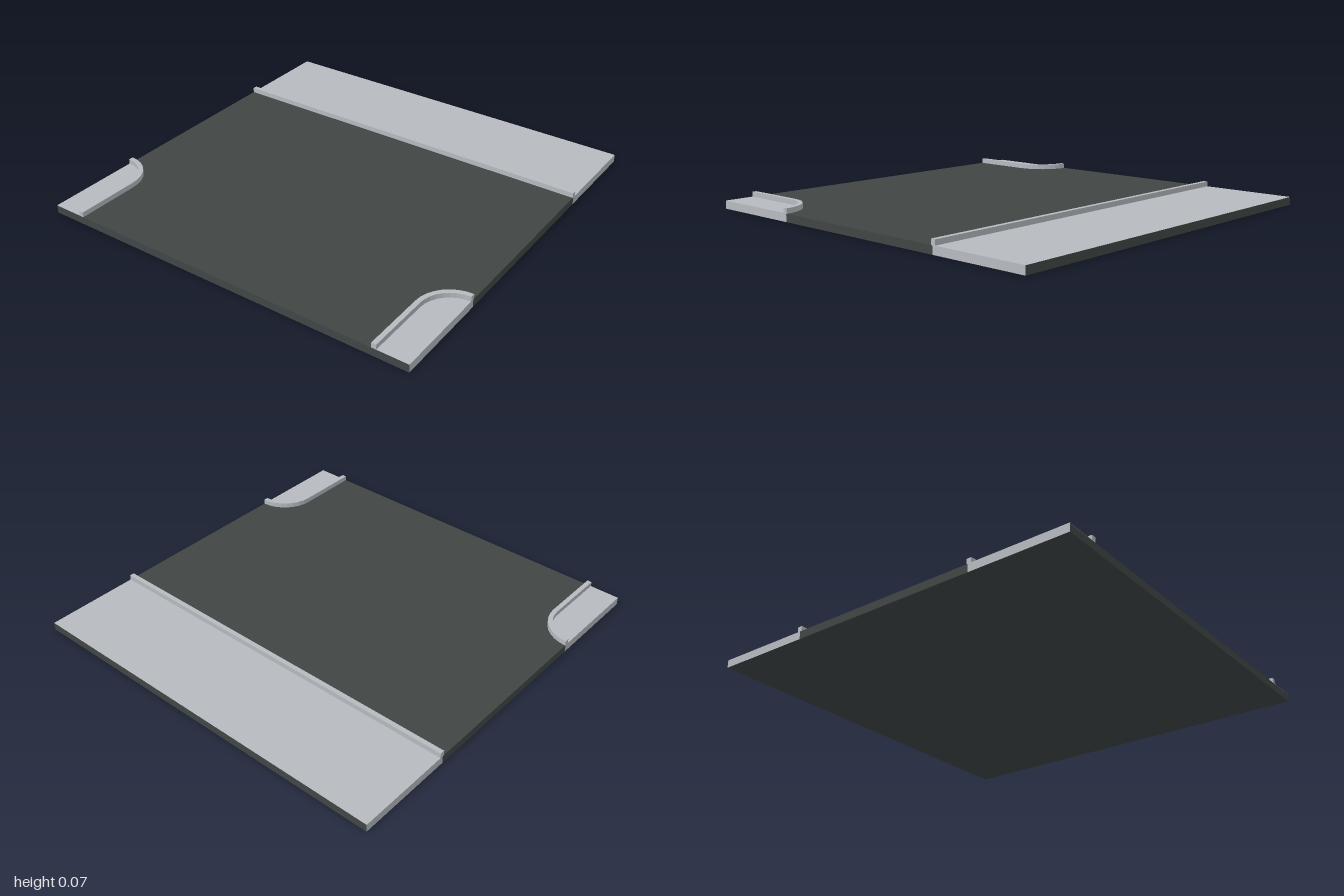
import * as THREE from 'three';

const BASE = 0.04, TOP = 0.066, EDGE = 0.495;

export function createModel() {
  const asphalt = new THREE.MeshStandardMaterial({ color: 0x404645 });
  asphalt.name = 'asphalt';
  const concrete = new THREE.MeshStandardMaterial({ color: 0xb6babf });
  concrete.name = 'concrete';

  const model = new THREE.Group();
  model.name = 'roadTile';

  function box(name, x0, x1, y0, y1, material) {
    const mesh = new THREE.Mesh(new THREE.BoxGeometry(x1 - x0, y1 - y0, 2), material);
    mesh.position.set((x0 + x1) / 2, (y0 + y1) / 2, 0);
    mesh.name = name;
    model.add(mesh);
  }

  // Slab: dark road and sides, pale cut ends under the pavements
  box('roadSlab', -EDGE, EDGE, 0, BASE, asphalt);
  box('cornerSideSlab', -1, -EDGE, 0, BASE,
    [asphalt, asphalt, asphalt, asphalt, concrete, concrete]);
  box('pavementSlab', EDGE, 1, 0, BASE,
    [asphalt, asphalt, concrete, asphalt, concrete, concrete]);

  // Straight kerb along the pavement
  box('straightKerb', 0.487, 0.511, BASE - 0.002, TOP, concrete);

  // Line along the side street that bends round to the tile edge
  const cx = -0.67, steps = 8;
  function cornerLine(radius, side) {
    const points = [new THREE.Vector2(-1, -side * (1 - radius))];
    for (let i = 0; i <= steps; i++) {
      const a = (i / steps) * Math.PI / 2;
      points.push(new THREE.Vector2(cx + radius * Math.sin(a), -side * (1 - radius * Math.cos(a))));
    }
    return points;
  }

  function extruded(name, points, y0, y1, parent) {
    const geometry = new THREE.ExtrudeGeometry(new THREE.Shape(points),
      { depth: y1 - y0, bevelEnabled: false });
    geometry.rotateX(-Math.PI / 2);
    const mesh = new THREE.Mesh(geometry, concrete);
    mesh.position.y = y0;
    mesh.name = name;
    parent.add(mesh);
  }

  // Two rounded pavement corners, front and back
  for (const side of [1, -1]) {
    const corner = new THREE.Group();
    corner.name = side > 0 ? 'frontCorner' : 'backCorner';
    const outer = cornerLine(0.18, side);
    const inner = cornerLine(0.156, side);
    extruded('cornerKerb', [...outer, ...inner.slice().reverse()], BASE, TOP, corner);
    extruded('cornerPaving', [...inner, new THREE.Vector2(-1, -side)], BASE, BASE + 0.001, corner);
    model.add(corner);
  }
  return model;
}
